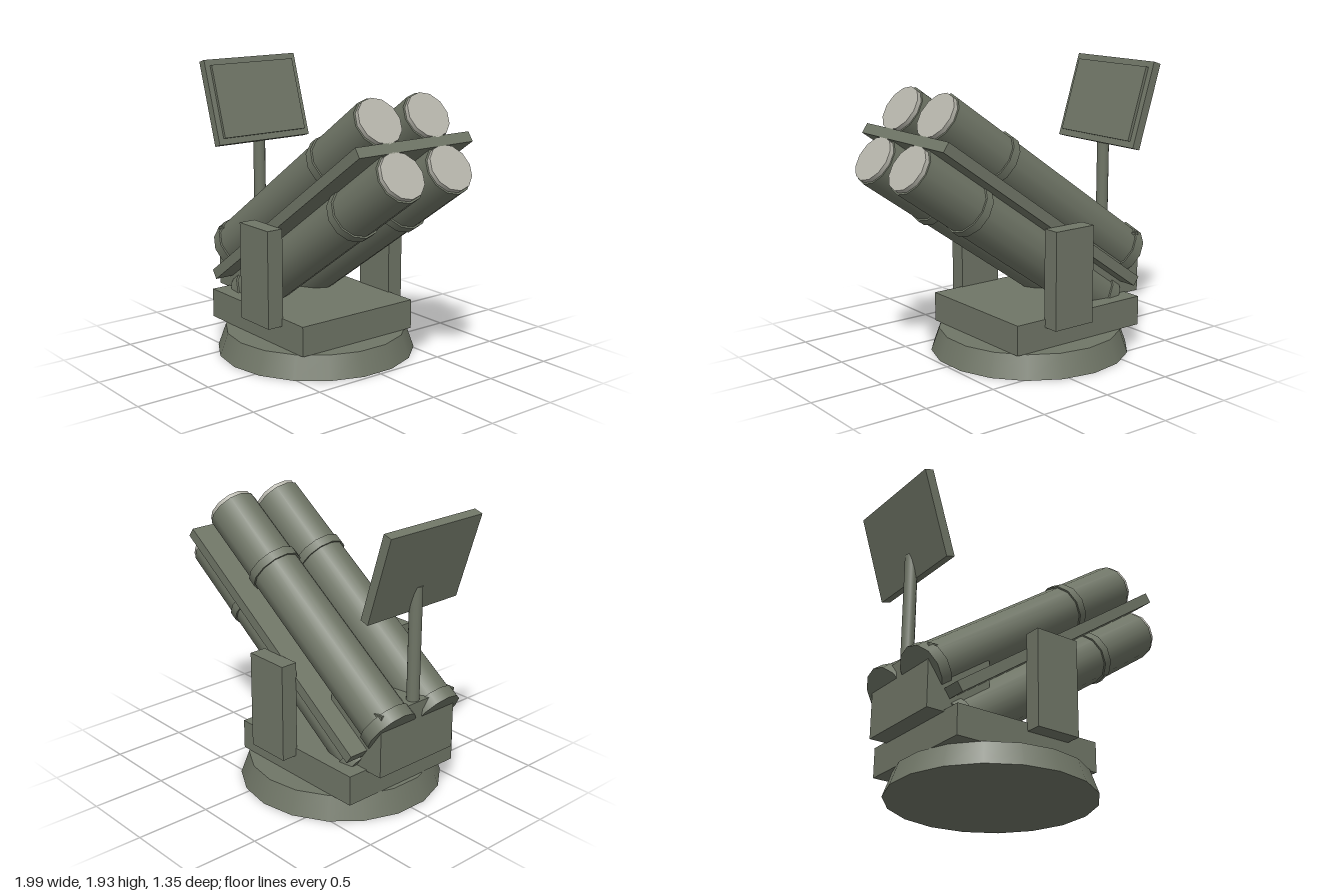
import * as THREE from 'three';

export function createModel() {
  const olive = new THREE.MeshStandardMaterial({ color: 0x6f7566 });
  olive.name = 'olive grey paint';
  const pale = new THREE.MeshStandardMaterial({ color: 0xb5b4aa });
  pale.name = 'pale grey cap';

  const model = new THREE.Group();
  model.name = 'missileLauncher';

  const add = (parent, name, geometry, material = olive) => {
    const mesh = new THREE.Mesh(geometry, material);
    mesh.name = name;
    parent.add(mesh);
    return mesh;
  };
  // Box given by its limits on each axis
  const box = (parent, name, [x0, x1], [y0, y1], [z0, z1]) =>
    add(parent, name, new THREE.BoxGeometry(x1 - x0, y1 - y0, z1 - z0)
      .translate((x0 + x1) / 2, (y0 + y1) / 2, (z0 + z1) / 2));

  // Round base and deck
  add(model, 'base', new THREE.CylinderGeometry(0.62, 0.675, 0.155, 18).translate(-0.19, 0.0775, 0));
  box(model, 'deck', [-0.77, 0.275], [0.155, 0.355], [-0.46, 0.46]);

  // Side supports
  box(model, 'leftSupport', [-0.26, 0.05], [0.3, 0.95], [-0.565, -0.45]);
  box(model, 'rightSupport', [-0.26, 0.05], [0.3, 0.95], [0.45, 0.565]);

  // Equipment box and mast behind the tubes
  box(model, 'equipmentBox', [-0.89, -0.445], [0.345, 0.762], [-0.32, 0.32]);
  add(model, 'mast', new THREE.CylinderGeometry(0.042, 0.042, 0.8, 12).translate(-0.84, 1.11, 0));

  // Tilted antenna panel with a raised face
  const antenna = new THREE.Group();
  antenna.name = 'antenna';
  antenna.position.set(-0.88, 1.638, 0);
  antenna.rotation.z = THREE.MathUtils.degToRad(17.4);
  box(antenna, 'antennaPanel', [-0.031, 0.031], [-0.297, 0.297], [-0.38, 0.38]);
  box(antenna, 'antennaFace', [0.031, 0.053], [-0.255, 0.255], [-0.34, 0.34]);
  model.add(antenna);

  // Launcher: local x runs along the tubes, raised 35 degrees
  const launcher = new THREE.Group();
  launcher.name = 'launcher';
  launcher.rotation.z = THREE.MathUtils.degToRad(35);
  model.add(launcher);
  box(launcher, 'centrePlate', [-0.35, 1.546], [0.776, 0.846], [-0.455, 0.455]);

  const tubePart = (parent, name, x0, x1, radius, material) =>
    add(parent, name, new THREE.CylinderGeometry(radius, radius, x1 - x0, 12)
      .rotateZ(-Math.PI / 2).translate((x0 + x1) / 2, 0, 0), material);

  // Four tubes, two above and two below the plate
  for (const y of [0.63, 0.992]) {
    for (const z of [-0.195, 0.195]) {
      const tube = new THREE.Group();
      tube.name = 'launchTube';
      tube.position.set(0, y, z);
      tubePart(tube, 'barrel', -0.34, 1.516, 0.168);
      tubePart(tube, 'rearCollar', -0.355, -0.272, 0.18);
      tubePart(tube, 'middleCollar', 0.965, 1.025, 0.18);
      tubePart(tube, 'endCap', 1.51, 1.546, 0.156, pale);
      launcher.add(tube);
    }
  }
  return model;
}
